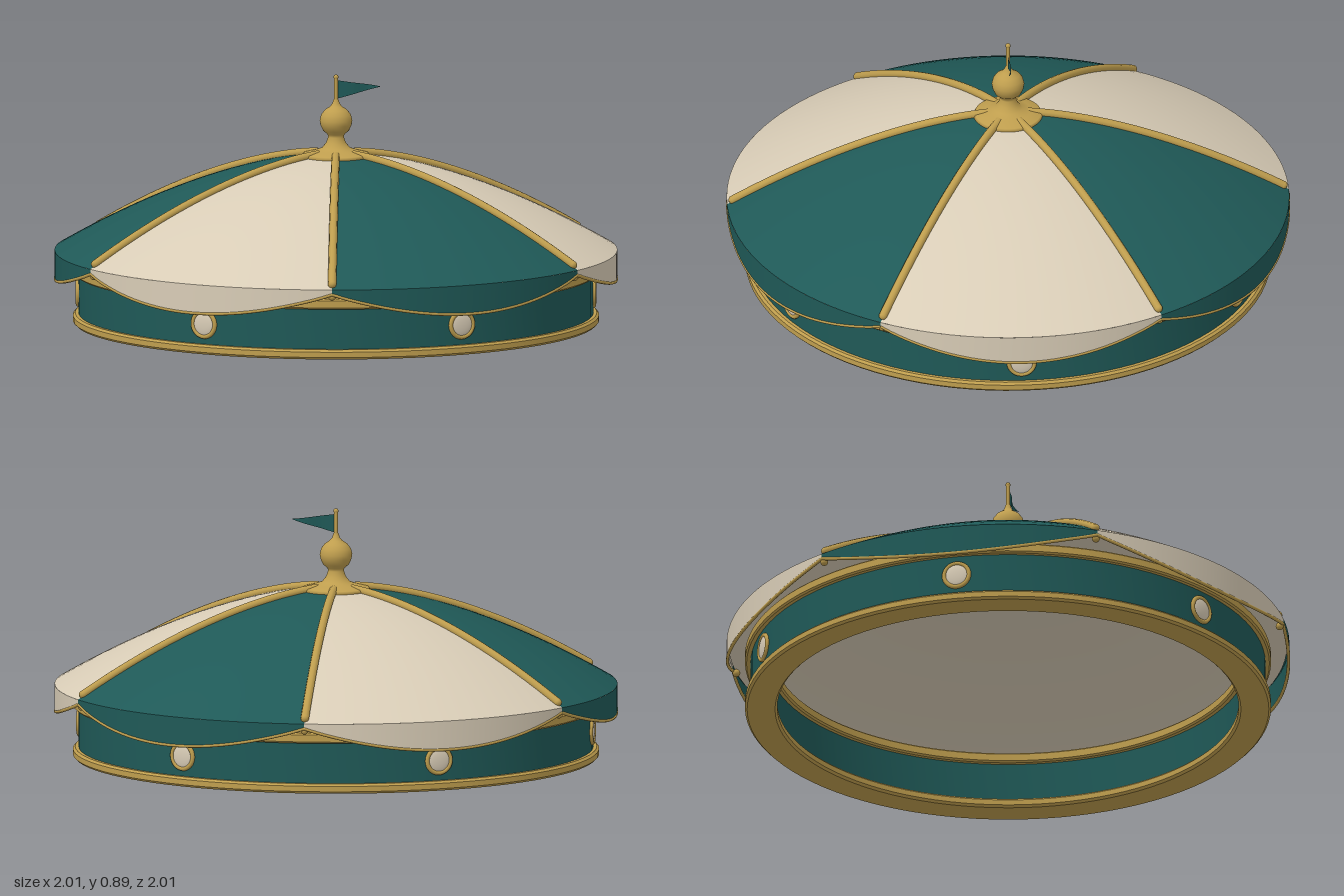
import * as THREE from 'three';
import { toCreasedNormals } from 'three/addons/utils/BufferGeometryUtils.js';

const PANELS = 6, STEP = Math.PI * 2 / PANELS;
const RIM_Y = 0.26;

// Height of the canopy at radius r, and of the scalloped hem across one panel
const domeY = r => RIM_Y + 0.345 * (1 - Math.pow(r, 1.7));
const hemY = t => 0.243 - 0.086 * Math.pow(Math.max(0, Math.sin(Math.PI * t)), 0.9);
const polar = (r, y, a) => new THREE.Vector3(r * Math.sin(a), y, r * Math.cos(a));
const v2 = list => list.map(([x, y]) => new THREE.Vector2(x, y));

export function createModel() {
  const teal = new THREE.MeshStandardMaterial({ color: 0x1f5957, side: THREE.DoubleSide });
  teal.name = 'teal';
  const cream = new THREE.MeshStandardMaterial({ color: 0xd8ccb6, side: THREE.DoubleSide });
  cream.name = 'cream';
  const gold = new THREE.MeshStandardMaterial({ color: 0xbf9e4e });
  gold.name = 'gold';

  const model = new THREE.Group();
  model.name = 'carouselCanopy';
  const add = (name, geometry, material, parent = model) => {
    const mesh = new THREE.Mesh(geometry, material);
    mesh.name = name;
    parent.add(mesh);
    return mesh;
  };

  // Closed ring with small bevels
  const ring = (inner, outer, y0, y1, b) => toCreasedNormals(new THREE.LatheGeometry(v2([
    [inner + b, y0], [outer - b, y0], [outer, y0 + b], [outer, y1 - b], [outer - b, y1],
    [inner + b, y1], [inner, y1 - b], [inner, y0 + b], [inner + b, y0],
  ]), 96), 0.6);

  // Drum with its base and cornice
  add('baseRing', ring(0.82, 0.935, 0, 0.035, 0.008), gold);
  add('drumWall', ring(0.85, 0.915, 0.03, 0.185, 0.002), teal);
  add('corniceRing', ring(0.83, 0.935, 0.18, 0.217, 0.006), gold);

  // Canopy lining, facing inward
  const radii = Array.from({ length: 21 }, (_, i) => i / 20);
  add('canopyLining', new THREE.LatheGeometry(
    radii.map(r => new THREE.Vector2(r * 0.992, domeY(r) - 0.01)), 96), cream);

  const domeProfile = [...radii].reverse().map(r => new THREE.Vector2(r, domeY(r)));
  for (let k = 0; k < PANELS; k++) {
    const start = k * STEP;
    const cloth = k % 2 ? cream : teal;
    const section = new THREE.Group();
    section.name = 'canopySection' + (k + 1);
    model.add(section);

    // Roof panel
    add('roofPanel', new THREE.LatheGeometry(domeProfile, 20, start, STEP), cloth, section);

    // Hanging valance with a scalloped hem
    const valance = new THREE.PlaneGeometry(1, 1, 28, 3);
    const p = valance.attributes.position;
    for (let i = 0; i < p.count; i++) {
      const t = p.getX(i) + 0.5, v = p.getY(i) + 0.5;
      const q = polar(1, THREE.MathUtils.lerp(hemY(t), RIM_Y, v), start + t * STEP);
      p.setXYZ(i, q.x, q.y, q.z);
    }
    valance.computeVertexNormals();
    add('valance', valance, cloth, section);

    // Hem trim
    const hem = Array.from({ length: 25 }, (_, i) => polar(0.997, hemY(i / 24), start + i / 24 * STEP));
    add('hemTrim', new THREE.TubeGeometry(new THREE.CatmullRomCurve3(hem), 48, 0.006, 8), gold, section);

    // Rib over the seam with a rounded end
    const rib = Array.from({ length: 13 }, (_, i) => {
      const r = 0.07 + 0.91 * i / 12;
      return polar(r, domeY(r) + 0.006, start);
    });
    add('rib', new THREE.TubeGeometry(new THREE.CatmullRomCurve3(rib), 32, 0.015, 10), gold, section);
    add('ribEnd', new THREE.SphereGeometry(0.015, 12, 8), gold, section).position.copy(rib[12]);

    // Bead where two scallops meet
    add('hemBead', new THREE.SphereGeometry(0.014, 14, 10), gold, section)
      .position.copy(polar(0.985, 0.234, start));

    // Round medallion on the drum
    const medallion = new THREE.Group();
    medallion.name = 'medallion';
    medallion.position.copy(polar(0.917, 0.107, start + STEP / 2));
    medallion.rotation.y = start + STEP / 2;
    section.add(medallion);
    add('medallionFrame', new THREE.TorusGeometry(0.045, 0.008, 10, 32), gold, medallion);
    const face = add('medallionFace', new THREE.SphereGeometry(0.043, 24, 12), cream, medallion);
    face.scale.z = 0.2;
  }

  // Turned finial with pole
  add('finial', new THREE.LatheGeometry(v2([
    [0, 0.585], [0.115, 0.588], [0.123, 0.597], [0.118, 0.606], [0.08, 0.616], [0.05, 0.626],
    [0.035, 0.645], [0.028, 0.665], [0.03, 0.675], [0.046, 0.688], [0.055, 0.708], [0.058, 0.725],
    [0.053, 0.745], [0.04, 0.762], [0.022, 0.774], [0.013, 0.785], [0.009, 0.8],
  ]), 40), gold);
  const pole = add('flagPole', new THREE.CylinderGeometry(0.008, 0.008, 0.1, 14), gold);
  pole.position.y = 0.83;
  add('poleTip', new THREE.SphereGeometry(0.009, 14, 10), gold).position.y = 0.88;

  // Waving pennant
  const flag = new THREE.PlaneGeometry(1, 1, 16, 4);
  const f = flag.attributes.position;
  for (let i = 0; i < f.count; i++) {
    const t = f.getX(i) + 0.5, v = f.getY(i) + 0.5;
    const low = THREE.MathUtils.lerp(0.802, 0.846, t), high = THREE.MathUtils.lerp(0.868, 0.848, t);
    f.setXYZ(i, 0.004 + 0.153 * t, THREE.MathUtils.lerp(low, high, v), 0.008 * Math.sin(t * 7) * t);
  }
  flag.computeVertexNormals();
  add('pennant', flag, teal);

  return model;
}
